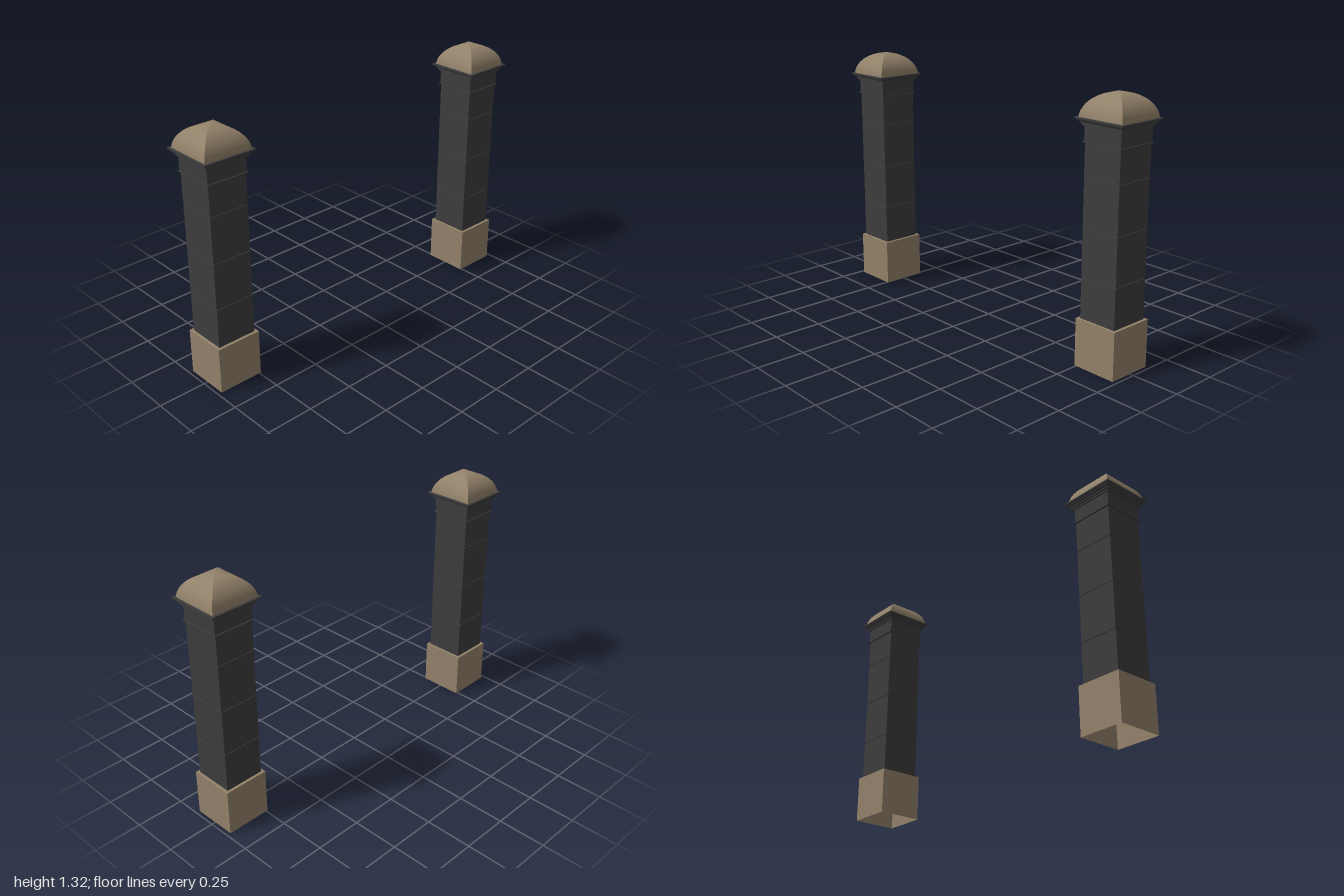
import * as THREE from 'three';
import { mergeGeometries } from 'three/addons/utils/BufferGeometryUtils.js';

// Square tower from [halfWidth, y] points, bottom to top; corners always stay sharp.
function squareLoft(profile, smooth = false) {
  const points = profile.map(([half, y]) => new THREE.Vector2(half * Math.SQRT2, y));
  const sides = [];
  for (let i = 0; i < 4; i++) {
    let side = new THREE.LatheGeometry(points, 1, Math.PI / 4 + (i * Math.PI) / 2, Math.PI / 2);
    if (!smooth) side = side.toNonIndexed();
    side.computeVertexNormals();
    sides.push(side);
  }
  return mergeGeometries(sides);
}

export function createModel() {
  const stone = new THREE.MeshStandardMaterial({ color: 0x93826a, side: THREE.DoubleSide });
  stone.name = 'tan stone';
  const dark = new THREE.MeshStandardMaterial({ color: 0x3d3d3d, side: THREE.DoubleSide });
  dark.name = 'dark stone';

  // Plinth, open underneath
  const plinth = squareLoft([[0.119, 0], [0.119, 0.243], [0.1, 0.243]]);

  // Shaft of stacked blocks with narrow grooved joints
  const shaftProfile = [[0.104, 0.243]];
  for (const y of [0.45, 0.69, 0.93]) {
    shaftProfile.push([0.104, y - 0.003], [0.101, y - 0.002], [0.101, y + 0.002], [0.104, y + 0.003]);
  }
  shaftProfile.push([0.104, 1.088]);
  const shaft = squareLoft(shaftProfile);

  // Thin projecting band and the neck above it
  const collar = squareLoft([[0.1, 1.087], [0.113, 1.087], [0.113, 1.091], [0.1, 1.091]]);
  const neck = squareLoft([[0.107, 1.09], [0.107, 1.168]]);

  // Stepped cornice
  const cornice = squareLoft([
    [0.105, 1.165], [0.115, 1.165], [0.115, 1.173], [0.122, 1.175], [0.122, 1.181],
    [0.129, 1.185], [0.134, 1.194], [0.14, 1.195], [0.14, 1.202], [0.12, 1.202],
  ]);

  // Four-sided dome following a circular arc
  const radius = 0.1275, centreY = 1.1905, domeProfile = [];
  const start = Math.asin((1.202 - centreY) / radius);
  for (let i = 0; i <= 16; i++) {
    const a = start + (Math.PI / 2 - start) * (i / 16);
    domeProfile.push([i === 16 ? 0 : radius * Math.cos(a), centreY + radius * Math.sin(a)]);
  }
  const dome = squareLoft(domeProfile, true);

  const parts = [
    ['plinth', plinth, stone], ['shaft', shaft, dark], ['collar', collar, dark],
    ['neck', neck, dark], ['cornice', cornice, dark], ['dome', dome, stone],
  ];

  // Matching pair of gate pillars
  const model = new THREE.Group();
  model.name = 'gatePillars';
  for (const side of [1, -1]) {
    const pillar = new THREE.Group();
    pillar.name = side > 0 ? 'leftPillar' : 'rightPillar';
    pillar.position.set(side * 0.86, 0, side * 0.003);
    for (const [name, geometry, material] of parts) {
      const mesh = new THREE.Mesh(geometry, material);
      mesh.name = name;
      pillar.add(mesh);
    }
    model.add(pillar);
  }
  return model;
}
